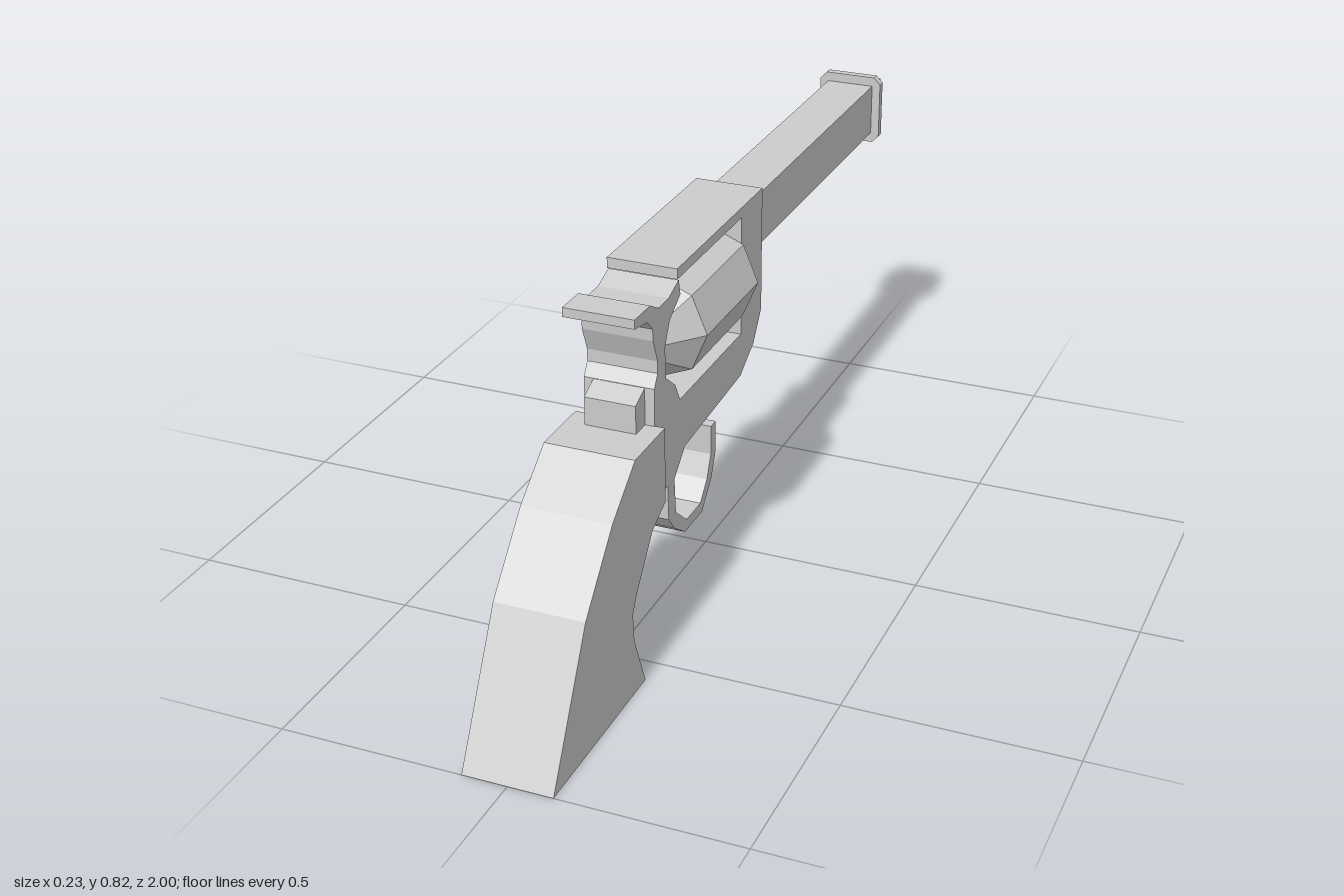
import * as THREE from 'three';

export function createModel() {
  const model = new THREE.Group();
  const material = new THREE.MeshStandardMaterial({ color: 0xcccccc, flatShading: true });

  const add = (name, geometry) => {
    const mesh = new THREE.Mesh(geometry, material);
    mesh.name = name;
    model.add(mesh);
    return mesh;
  };

  // Side profile of [z, y] points, extruded evenly across x
  const slab = (name, width, points) => {
    const shape = new THREE.Shape(points.map(([z, y]) => new THREE.Vector2(z, y)));
    const geometry = new THREE.ExtrudeGeometry(shape, { depth: width, bevelEnabled: false });
    geometry.translate(0, 0, -width / 2).rotateY(-Math.PI / 2);
    return add(name, geometry);
  };

  const box = (name, width, y0, y1, z0, z1) =>
    add(name, new THREE.BoxGeometry(width, y1 - y0, z1 - z0))
      .position.set(0, (y0 + y1) / 2, (z0 + z1) / 2);

  // Curved grip with flared heel
  slab('grip', 0.197, [
    [1, 0], [0.84, 0.3], [0.71, 0.445], [0.6, 0.53], [0.453, 0.53], [0.453, 0.362],
    [0.52, 0.33], [0.6, 0.23], [0.622, 0.19], [0.617, 0.125], [0.565, 0],
  ]);

  // Frame wrapping the drum window, with the hammer spur at the rear
  slab('frame', 0.154, [
    [0.335, 0.825], [-0.135, 0.825], [-0.135, 0.54], [-0.09, 0.475], [-0.013, 0.43],
    [0.3, 0.41], [0.355, 0.362], [0.455, 0.362], [0.455, 0.613],
    [0.437, 0.64], [0.437, 0.667], [0.458, 0.72], [0.46, 0.747], [0.485, 0.772],
    [0.545, 0.783], [0.545, 0.803], [0.47, 0.802], [0.43, 0.78], [0.38, 0.78], [0.328, 0.798],
    [0.32, 0.764], [0.375, 0.73], [0.4, 0.68], [0.395, 0.61], [0.35, 0.575], [0.325, 0.53],
    [-0.013, 0.53], [-0.013, 0.802], [0.335, 0.802],
  ]);

  // Wedge block behind the frame
  slab('rearBlock', 0.112, [[0.5, 0.528], [0.5, 0.592], [0.453, 0.613], [0.453, 0.528]]);

  // Trigger guard, an open hook
  slab('triggerGuard', 0.154, [
    [0.392, 0.365], [0.388, 0.28], [0.36, 0.245], [0.302, 0.205], [0.207, 0.205],
    [0.155, 0.26], [0.131, 0.315], [0.131, 0.387], [0.158, 0.387], [0.158, 0.32],
    [0.18, 0.27], [0.217, 0.23], [0.292, 0.23], [0.35, 0.278], [0.357, 0.365],
  ]);

  slab('trigger', 0.06, [
    [0.3, 0.42], [0.298, 0.34], [0.26, 0.285], [0.248, 0.295], [0.276, 0.345], [0.276, 0.42],
  ]);

  // Octagonal drum with a tapered rear
  const drum = new THREE.LatheGeometry([
    [0, -0.01], [0.117, -0.01], [0.117, 0.275], [0.03, 0.38], [0, 0.38],
  ].map(([r, z]) => new THREE.Vector2(r, z)), 8);
  drum.rotateX(Math.PI / 2);
  add('drum', drum).position.y = 0.66;

  box('barrel', 0.114, 0.675, 0.796, -1, -0.13);
  box('ejectorRod', 0.06, 0.627, 0.662, -0.237, -0.13);

  // Muzzle band with chamfered corners
  const w = 0.077, h = 0.083, c = 0.016;
  const outline = [
    [w, h - c], [w - c, h], [c - w, h], [-w, h - c], [-w, c - h], [c - w, -h], [w - c, -h], [w, c - h],
  ].map(([x, y]) => new THREE.Vector2(x, y));
  const band = new THREE.ExtrudeGeometry(new THREE.Shape(outline), { depth: 0.02, bevelEnabled: false });
  add('muzzleBand', band).position.set(0, 0.735, -0.956);

  return model;
}
